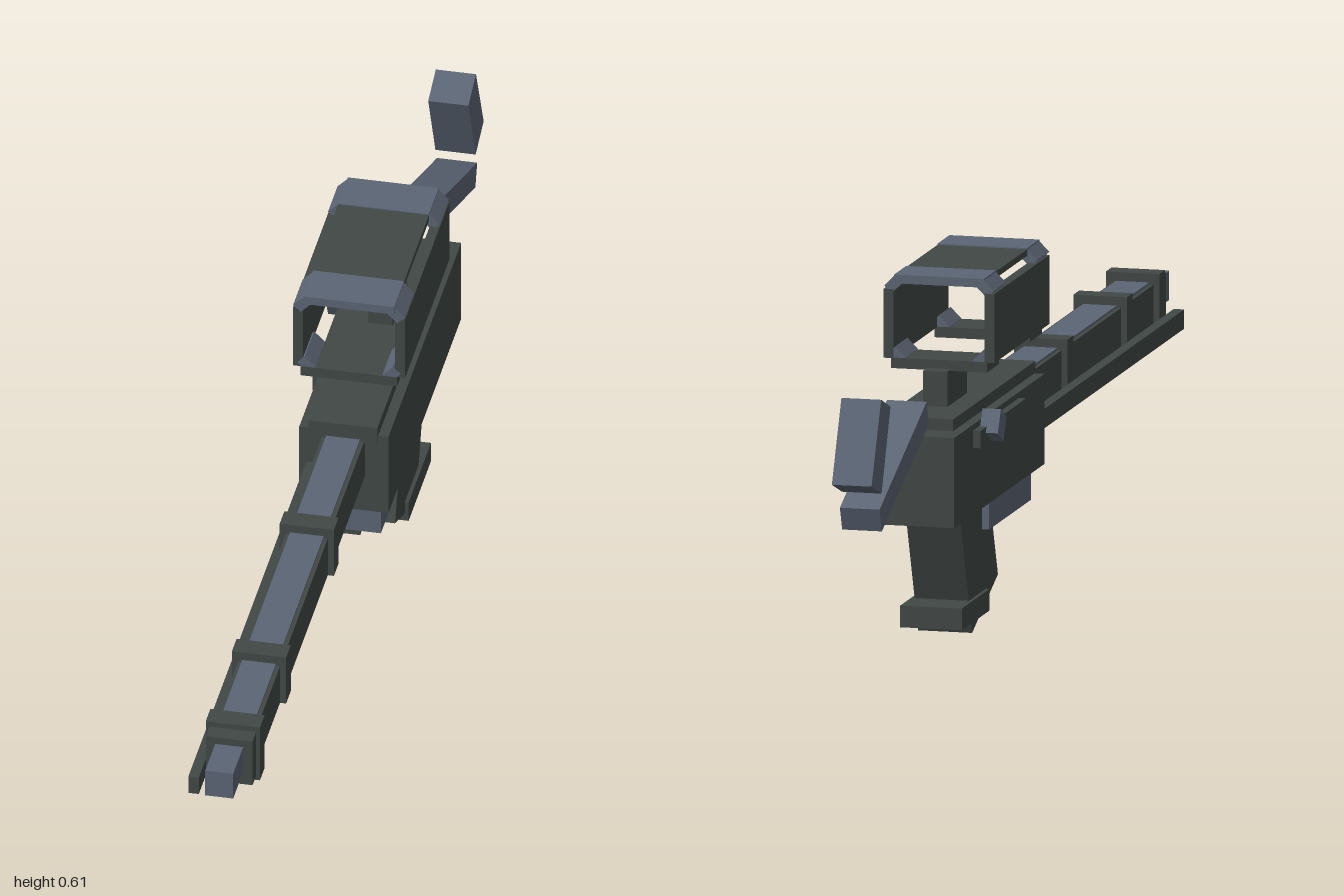
import * as THREE from 'three';

const dark = new THREE.MeshStandardMaterial({ name: 'dark gunmetal', color: 0x414846 });
const blue = new THREE.MeshStandardMaterial({ name: 'blue steel', color: 0x5b6574 });
const CX = 0.0065; // the body's middle line

// Box given by its limits on each axis
function block(parent, name, mat, [x0, x1], [y0, y1], [z0, z1]) {
  const m = new THREE.Mesh(new THREE.BoxGeometry(x1 - x0, y1 - y0, z1 - z0), mat);
  m.position.set((x0 + x1) / 2, (y0 + y1) / 2, (z0 + z1) / 2);
  m.name = name;
  parent.add(m);
  return m;
}

// Side outline of [z, y] points, extruded across x
function slab(parent, name, mat, points, width) {
  const shape = new THREE.Shape(points.map(([z, y]) => new THREE.Vector2(-z, y)));
  const geo = new THREE.ExtrudeGeometry(shape, { depth: width, bevelEnabled: false });
  geo.translate(0, 0, -width / 2);
  geo.rotateY(Math.PI / 2);
  const m = new THREE.Mesh(geo, mat);
  m.position.x = CX;
  m.name = name;
  parent.add(m);
}

const mid = (half) => [CX - half, CX + half];

export function createModel() {
  const g = new THREE.Group();

  // Receiver
  block(g, 'receiver', dark, mid(0.0765), [0.226, 0.38], [-0.615, -0.02]);
  block(g, 'topRail', dark, mid(0.059), [0.366, 0.4], [-0.555, -0.013]);
  block(g, 'lowerHousing', blue, mid(0.059), [0.168, 0.23], [-0.32, -0.042]);

  // Trigger guard
  block(g, 'guardPost', dark, mid(0.0175), [0.142, 0.17], [-0.115, -0.07]);
  block(g, 'guardBar', dark, mid(0.0175), [0.14, 0.16], [-0.27, -0.07]);

  // Grip and its foot
  slab(g, 'grip', dark, [[-0.28, 0.24], [-0.475, 0.24], [-0.385, 0.003], [-0.215, 0.072]], 0.094);
  block(g, 'gripFoot', dark, mid(0.0535), [0.025, 0.062], [-0.478, -0.295]);

  // Barrel
  block(g, 'barrel', dark, mid(0.036), [0.295, 0.369], [-0.03, 0.86]);
  block(g, 'barrelStrip', blue, mid(0.029), [0.366, 0.373], [-0.015, 0.86]);
  block(g, 'muzzle', blue, mid(0.024), [0.315, 0.365], [0.84, 1]);
  block(g, 'sideRod', dark, [-0.058, -0.04], [0.278, 0.311], [-0.03, 0.945]);
  for (const z of [0.264, 0.655]) {
    block(g, 'barrelBand', dark, mid(0.0465), [0.295, 0.388], [z - 0.019, z + 0.019]);
  }
  block(g, 'muzzleCollar', dark, mid(0.0465), [0.281, 0.388], [0.85, 0.888]);
  block(g, 'muzzleCap', dark, mid(0.04), [0.29, 0.378], [0.88, 0.918]);

  // Charging handle
  block(g, 'handleSlot', dark, [-0.083, -0.069], [0.34, 0.37], [-0.49, -0.19]);
  const knob = block(g, 'handleKnob', blue, [-0.104, -0.072], [0.3475, 0.3905], [-0.449, -0.406]);
  knob.rotation.x = 0.5;

  // Sight mount
  block(g, 'sightMount', dark, mid(0.021), [0.395, 0.46], [-0.45, -0.32]);

  // Open sight housing: side panels, a roof and chamfered end frames
  const sight = new THREE.Group();
  sight.name = 'sight';
  sight.position.x = CX;
  g.add(sight);
  block(sight, 'roofPanel', dark, [-0.078, 0.078], [0.604, 0.615], [-0.35, -0.135]);
  for (const s of [-1, 1]) {
    const xs = [s * 0.096, s * 0.079].sort((a, b) => a - b);
    block(sight, 'sidePanel', dark, xs, [0.474, 0.592], [-0.425, -0.062]);
  }
  for (const [z0, z1] of [[-0.425, -0.345], [-0.14, -0.06]]) {
    block(sight, 'roofEnd', blue, [-0.078, 0.078], [0.602, 0.617], [z0, z1]);
    block(sight, 'floorEnd', dark, [-0.083, 0.083], [0.457, 0.475], [z0, z1]);
    for (const s of [-1, 1]) {
      for (const [x, y, t] of [[0.08, 0.6, -1], [0.073, 0.479, 1]]) {
        const c = block(sight, 'cornerBrace', blue, [-0.013, 0.013], [-0.009, 0.009], [z0 + 0.001, z1 - 0.001]);
        c.position.x = s * x;
        c.position.y = y;
        c.rotation.z = s * t * Math.PI / 4;
      }
    }
  }

  // Detached stock: sloping arm and shoulder pad
  slab(g, 'stockArm', blue, [[-0.637, 0.444], [-0.622, 0.403], [-0.932, 0.277], [-0.947, 0.317]], 0.069);
  slab(g, 'shoulderPad', blue, [[-0.875, 0.48], [-0.937, 0.503], [-1, 0.366], [-0.934, 0.342]], 0.069);

  return g;
}
